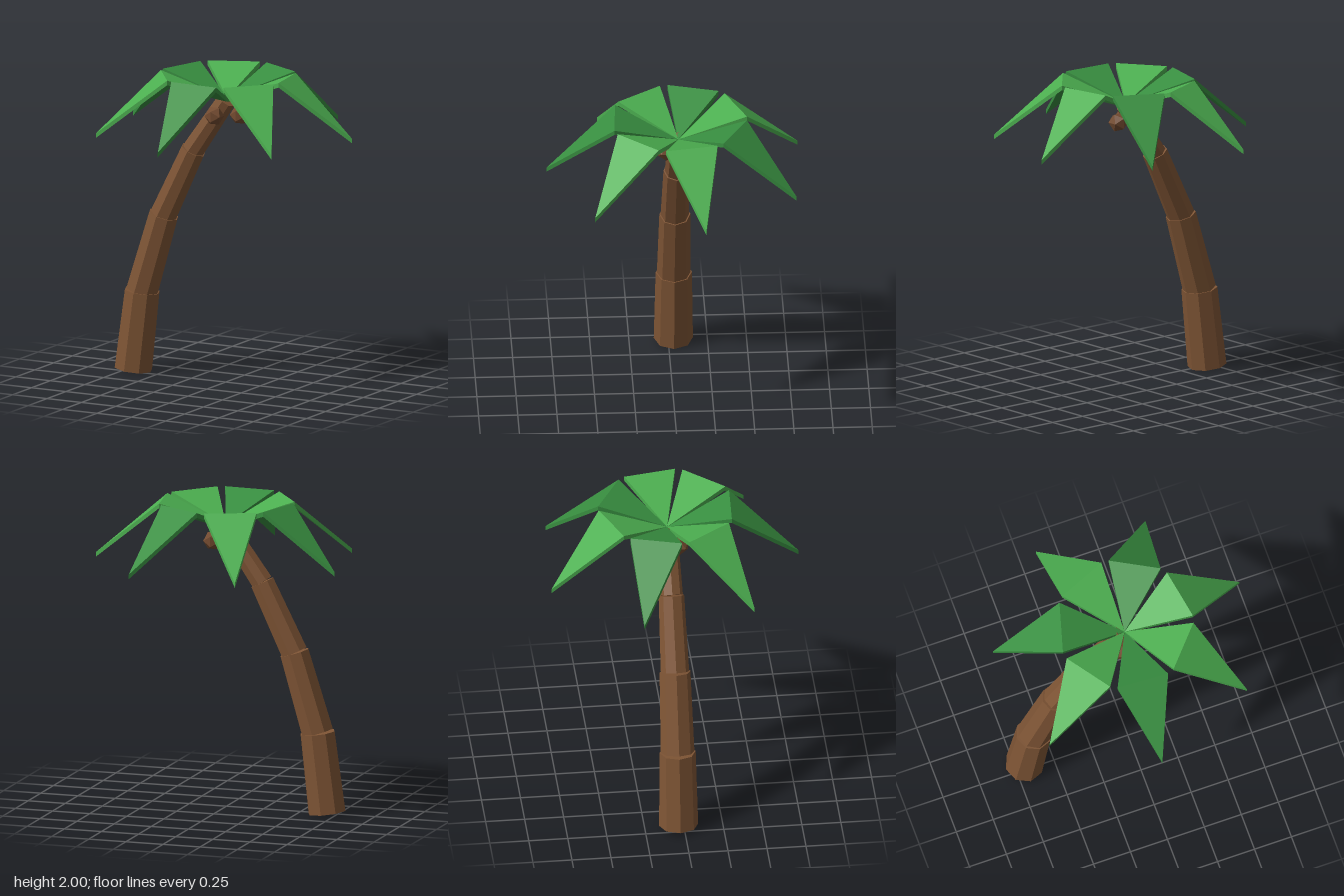
import * as THREE from 'three';

const material = (name, color) => {
  const m = new THREE.MeshStandardMaterial({ color, flatShading: true });
  m.name = name;
  return m;
};

// Bent kite-shaped frond along +z: rises from the crown, then folds down to its tip
function frondGeometry(thickness) {
  const top = [[0, 1.845, 0], [-0.168, 2, 0.405], [0, 1.635, 0.84], [0.168, 2, 0.405]]
    .map(p => new THREE.Vector3(...p));
  const bottom = top.map(p => p.clone().setY(p.y - thickness));
  const points = [];
  for (const [a, b, c] of [[0, 1, 3], [1, 2, 3]]) {
    points.push(top[a], top[b], top[c], bottom[a], bottom[c], bottom[b]);
  }
  // Rim around the outline
  for (let i = 0; i < 4; i++) {
    const j = (i + 1) % 4;
    points.push(bottom[i], bottom[j], top[j], bottom[i], top[j], top[i]);
  }
  const geometry = new THREE.BufferGeometry().setFromPoints(points);
  geometry.computeVertexNormals();
  return geometry;
}

export function createModel() {
  const bark = material('bark brown', 0x7f5535);
  const shell = material('coconut brown', 0x734b30);
  const lightGreen = material('light green', 0x4caf50);
  const darkGreen = material('dark green', 0x388e40);

  const palm = new THREE.Group();
  palm.name = 'palmTree';
  const centreZ = -0.033;

  // Leaning trunk of tapered, stepped segments
  const trunk = new THREE.Group();
  trunk.name = 'trunk';
  palm.add(trunk);
  const joints = [[-0.689, 0.016], [-0.625, 0.53], [-0.469, 1.04], [-0.253, 1.482], [-0.01, 1.83]]
    .map(([x, y]) => new THREE.Vector3(x, y, centreZ));
  const radii = [[0.125, 0.116], [0.108, 0.099], [0.091, 0.082], [0.074, 0.064]];
  radii.forEach(([low, high], i) => {
    const axis = joints[i + 1].clone().sub(joints[i]);
    const segment = new THREE.Mesh(new THREE.CylinderGeometry(high, low, axis.length(), 8), bark);
    segment.name = 'trunkSegment' + (i + 1);
    segment.position.copy(joints[i]).addScaledVector(axis, 0.5);
    segment.rotation.z = -Math.atan2(axis.x, axis.y);
    trunk.add(segment);
  });

  // Seven fronds around the crown, in two greens
  const fronds = new THREE.Group();
  fronds.name = 'fronds';
  fronds.position.set(-0.009, 0, -0.035);
  palm.add(fronds);
  const frondShape = frondGeometry(0.03);
  for (let i = 0; i < 7; i++) {
    const isDark = i === 0 || i === 2 || i === 4;
    const frond = new THREE.Mesh(frondShape, isDark ? darkGreen : lightGreen);
    frond.name = 'frond' + (i + 1);
    frond.rotation.y = THREE.MathUtils.degToRad(-3) - i * Math.PI * 2 / 7;
    fronds.add(frond);
  }

  // Coconuts hanging below the crown
  const nutShape = new THREE.IcosahedronGeometry(0.064, 0);
  [[-0.06, 1.735, 0.04], [0.072, 1.737, -0.055], [-0.09, 1.735, -0.068]].forEach((p, i) => {
    const nut = new THREE.Mesh(nutShape, shell);
    nut.name = 'coconut' + (i + 1);
    nut.position.set(...p);
    palm.add(nut);
  });

  return palm;
}
